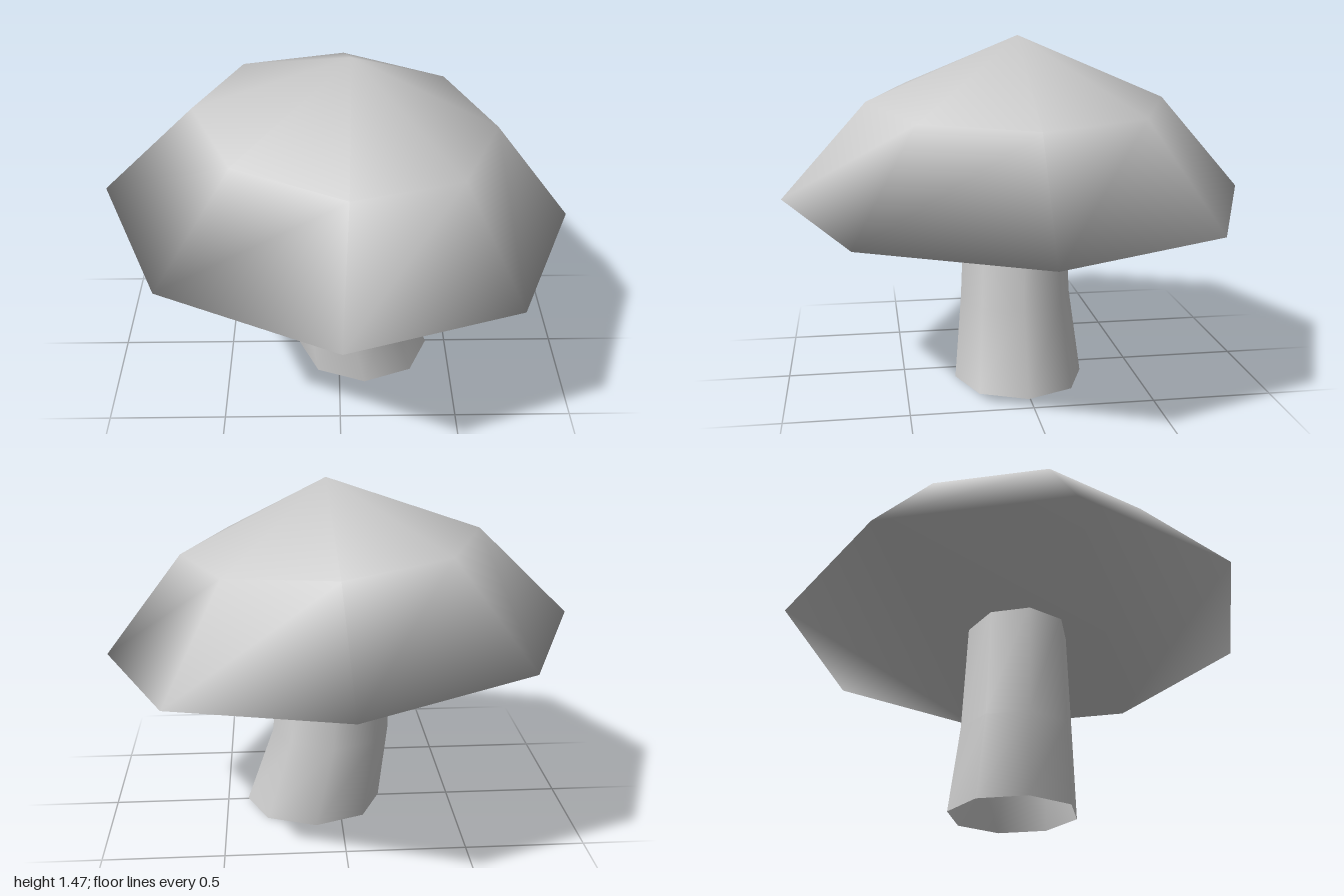
import * as THREE from 'three';
import { mergeVertices } from 'three/addons/utils/BufferGeometryUtils.js';

const SIDES = 8;

// Low-poly dome: rim, shoulder ring, apex and a flat underside, all sharing smooth normals
function capGeometry() {
  const points = [];
  for (const [radius, height] of [[1, 0], [0.636, 0.41]]) {
    for (let i = 0; i < SIDES; i++) {
      const a = (i / SIDES) * Math.PI * 2;
      points.push(radius * Math.cos(a), height, radius * Math.sin(a));
    }
  }
  points.push(0, 0.682, 0);
  const apex = SIDES * 2;
  const index = [];
  for (let i = 0; i < SIDES; i++) {
    const j = (i + 1) % SIDES;
    index.push(i, i + SIDES, j, j, i + SIDES, j + SIDES, i + SIDES, apex, j + SIDES);
  }
  // Underside
  index.push(1, 2, 3, 1, 3, 4, 1, 4, 5, 0, 1, 5, 0, 5, 6, 0, 6, 7);
  const g = new THREE.BufferGeometry();
  g.setAttribute('position', new THREE.Float32BufferAttribute(points, 3));
  g.setIndex(index);
  g.computeVertexNormals();
  return g;
}

// Open tube bent through three elliptical rings
function stemGeometry() {
  const rings = [ // top to bottom
    { y: 0.82, x: 0.015, rx: 0.234, rz: 0.217 },
    { y: 0.34, x: 0.033, rx: 0.257, rz: 0.241 },
    { y: 0, x: 0.113, rx: 0.297, rz: 0.277 },
  ];
  let g = new THREE.CylinderGeometry(1, 1, 2, SIDES, 2, true);
  const p = g.attributes.position;
  for (let i = 0; i < p.count; i++) {
    const r = rings[Math.round(1 - p.getY(i))];
    p.setXYZ(i, r.x + p.getX(i) * r.rx, r.y, 0.006 + p.getZ(i) * r.rz);
  }
  g.deleteAttribute('uv');
  g.deleteAttribute('normal');
  g = mergeVertices(g, 1e-4);
  g.computeVertexNormals();
  return g;
}

export function createModel() {
  const grey = new THREE.MeshStandardMaterial({ color: 0xcccccc, side: THREE.DoubleSide });
  grey.name = 'light grey';

  const model = new THREE.Group();
  model.name = 'mushroom';

  const stem = new THREE.Mesh(stemGeometry(), grey);
  stem.name = 'stem';

  // The cap tips slightly towards +x
  const cap = new THREE.Mesh(capGeometry(), grey);
  cap.name = 'cap';
  cap.position.y = 0.79;
  cap.rotation.z = -0.075;

  model.add(stem, cap);
  return model;
}
